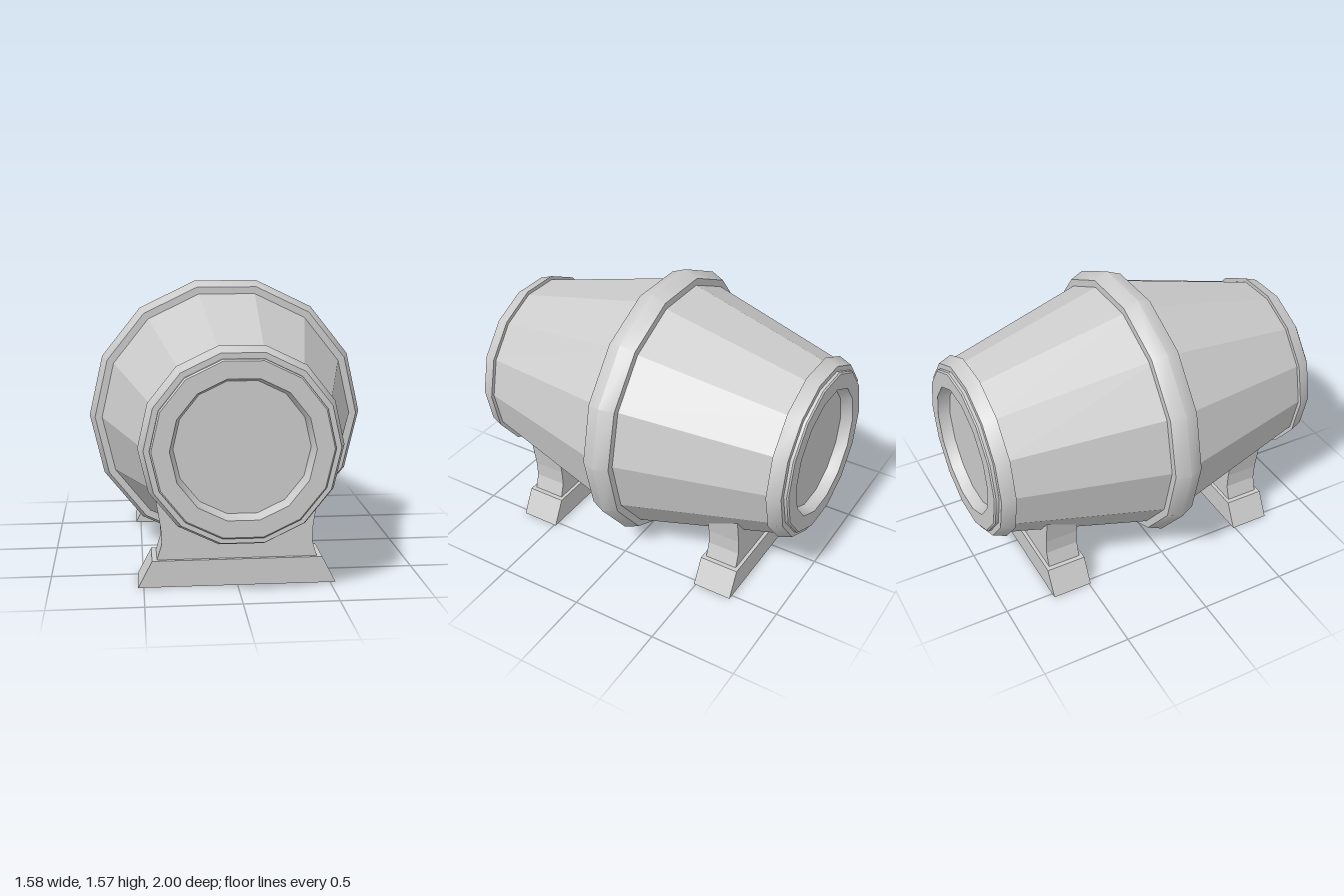
import * as THREE from 'three';
import { toCreasedNormals } from 'three/addons/utils/BufferGeometryUtils.js';

const SIDES = 14;
const AXIS_Y = 0.8;

export function createModel() {
  const model = new THREE.Group();
  model.name = 'barrelOnStands';
  const smooth = new THREE.MeshStandardMaterial({ color: 0xcccccc });
  const flat = new THREE.MeshStandardMaterial({ color: 0xcccccc, flatShading: true });

  // Turned part along z from [radius, z] pairs listed back to front, a corner on +x
  function turned(name, profile, material, crease) {
    const pts = profile.map(([r, z]) => new THREE.Vector2(r, z));
    let geo = new THREE.LatheGeometry(pts, SIDES, Math.PI / 2);
    geo.rotateX(Math.PI / 2);
    if (crease) geo = toCreasedNormals(geo, crease);
    const mesh = new THREE.Mesh(geo, material);
    mesh.name = name;
    return mesh;
  }

  // Slab with a front outline, centred on its own z
  function slab(name, points, depth) {
    const shape = new THREE.Shape(points.map(([x, y]) => new THREE.Vector2(x, y)));
    const geo = new THREE.ExtrudeGeometry(shape, { depth, bevelEnabled: false });
    geo.translate(0, 0, -depth / 2);
    const mesh = new THREE.Mesh(geo, flat);
    mesh.name = name;
    return mesh;
  }

  // Barrel: staved body and the broad hoop round its middle
  const barrel = new THREE.Group();
  barrel.name = 'barrel';
  barrel.position.y = AXIS_Y;
  barrel.add(turned('staves', [[0.492, -0.94], [0.738, 0], [0.492, 0.94]], flat));
  barrel.add(turned('middleHoop', [
    [0.7, -0.08], [0.757, -0.08], [0.79, 0], [0.757, 0.08], [0.7, 0.08],
  ], smooth, 0.85));

  // Both ends: tapered hoop and a recessed lid
  for (const turn of [0, Math.PI]) {
    const end = new THREE.Group();
    end.name = turn ? 'backEnd' : 'frontEnd';
    end.rotation.y = turn;
    end.add(turned('endHoop', [
      [0.47, 0.9], [0.525, 0.9], [0.497, 0.975], [0.45, 0.975],
    ], smooth, 0.6));
    end.add(turned('lid', [
      [0.467, 0.94], [0.467, 0.992], [0.459, 1], [0.368, 1], [0.348, 0.935], [0, 0.935],
    ], smooth, 0.6));
    barrel.add(end);
  }
  model.add(barrel);

  // Two stands: a splayed foot and a waisted cradle that runs up into the barrel
  const cradleSide = [[0.43, 0.14], [0.403, 0.23], [0.407, 0.32], [0.43, 0.46], [0.435, 0.5]];
  const cradle = [...cradleSide, ...cradleSide.map(([x, y]) => [-x, y]).reverse()];
  const foot = [[-0.53, 0], [0.53, 0], [0.455, 0.145], [-0.455, 0.145]];
  for (const side of [1, -1]) {
    const stand = new THREE.Group();
    stand.name = side > 0 ? 'frontStand' : 'backStand';
    stand.position.z = side * 0.605;
    stand.add(slab('foot', foot, 0.23), slab('cradle', cradle, 0.19));
    model.add(stand);
  }
  return model;
}
